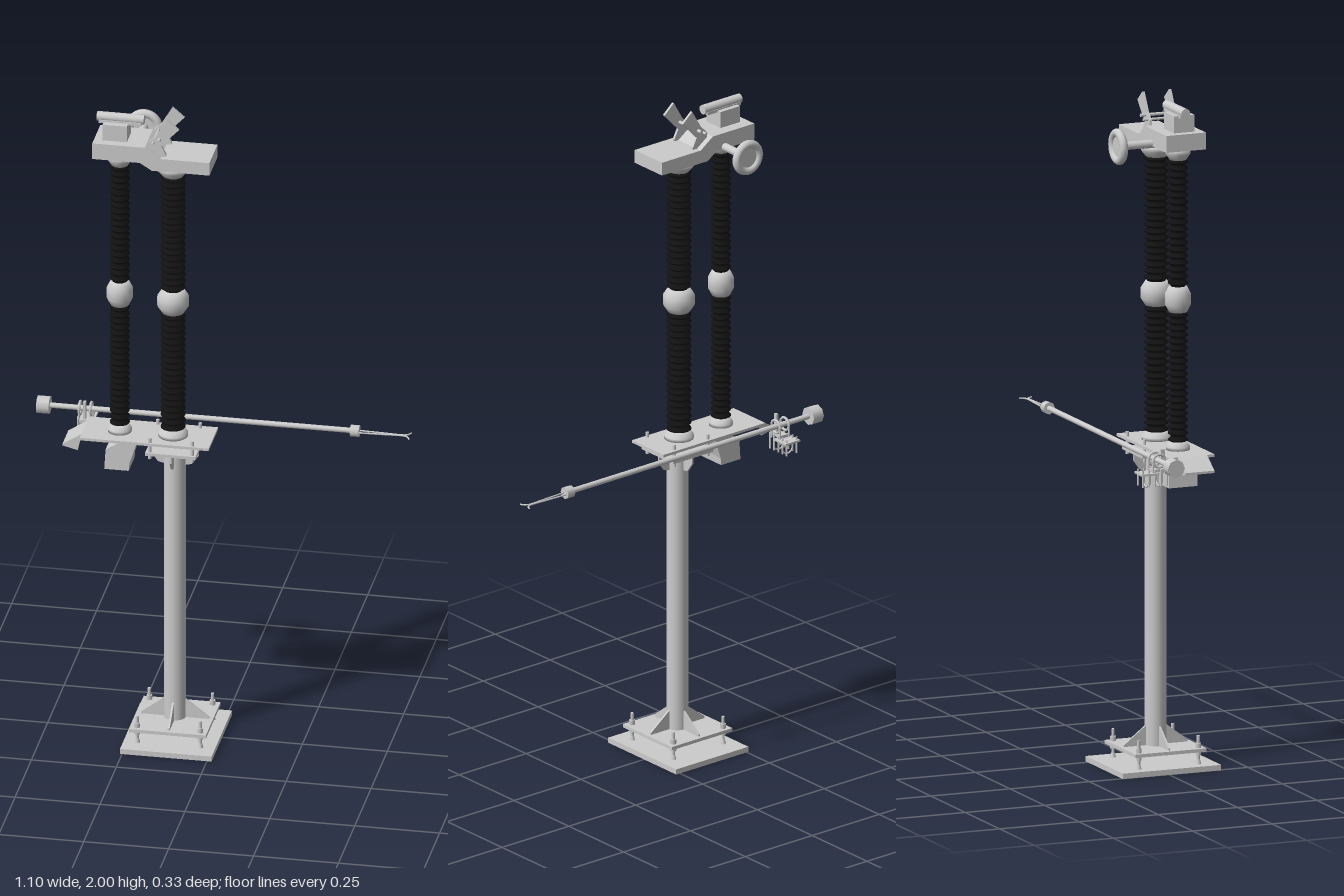
import * as THREE from 'three';

const grey = new THREE.MeshStandardMaterial({ color: 0xcccccc, side: THREE.DoubleSide });
const dark = new THREE.MeshStandardMaterial({ color: 0x111111, side: THREE.DoubleSide });
const PX = -0.122, PZ = 0.014; // column axis

export function createModel() {
  const root = new THREE.Group();

  function add(name, geo, x = 0, y = 0, z = 0, mat = grey, parent = root) {
    const m = new THREE.Mesh(geo, mat);
    m.name = name;
    m.position.set(x, y, z);
    parent.add(m);
    return m;
  }
  // box given by its minimum and maximum corners
  const box = (name, x0, x1, y0, y1, z0, z1) => add(name,
    new THREE.BoxGeometry(x1 - x0, y1 - y0, z1 - z0), (x0 + x1) / 2, (y0 + y1) / 2, (z0 + z1) / 2);
  const cyl = (name, r0, r1, y0, y1, x, z, n = 24) => add(name,
    new THREE.CylinderGeometry(r1, r0, y1 - y0, n), x, (y0 + y1) / 2, z);
  // cylinder between two points
  function rod(name, a, b, r, n = 12) {
    const p = new THREE.Vector3(...a), q = new THREE.Vector3(...b);
    const d = q.clone().sub(p);
    const m = add(name, new THREE.CylinderGeometry(r, r, d.length(), n));
    m.position.copy(p).addScaledVector(d, 0.5);
    m.quaternion.setFromUnitVectors(new THREE.Vector3(0, 1, 0), d.normalize());
    return m;
  }
  // outline in x/y extruded from z0 to z1
  function slab(name, pts, z0, z1, parent = root) {
    const s = new THREE.Shape(pts.map(p => new THREE.Vector2(...p)));
    return add(name, new THREE.ExtrudeGeometry(s, { depth: z1 - z0, bevelEnabled: false }), 0, 0, z0, grey, parent);
  }
  const lathe = (name, pts, x, z, mat = grey, n = 28) => add(name,
    new THREE.LatheGeometry(pts.map(p => new THREE.Vector2(...p)), n), x, 0, z, mat);

  // foot: ground plate, raised plate on anchor bolts, column
  box('groundPlate', -0.256, 0.014, 0, 0.016, -0.147, 0.163);
  box('footPlate', -0.236, -0.01, 0.054, 0.064, -0.098, 0.126);
  for (const x of [-0.216, -0.03]) for (const z of [-0.08, 0.108]) {
    cyl('anchorBolt', 0.005, 0.005, 0.016, 0.1, x, z, 10);
    cyl('anchorNutLower', 0.009, 0.009, 0.042, 0.054, x, z, 6);
    cyl('anchorNutUpper', 0.009, 0.009, 0.064, 0.078, x, z, 6);
    cyl('anchorCollar', 0.009, 0.005, 0.016, 0.03, x, z, 10);
  }
  cyl('column', 0.032, 0.032, 0.06, 0.932, PX, PZ, 32);

  // triangular stiffeners at the foot and head of the column
  for (let i = 0; i < 4; i++) {
    const g = new THREE.Group();
    g.name = 'stiffeners';
    g.position.set(PX, 0, PZ);
    g.rotation.y = i * Math.PI / 2;
    root.add(g);
    slab('footStiffener', [[0.028, 0.064], [0.1, 0.064], [0.1, 0.07], [0.032, 0.122], [0.028, 0.122]], -0.003, 0.003, g);
    slab('headStiffener', [[0.028, 0.932], [0.07, 0.932], [0.07, 0.908], [0.05, 0.88], [0.028, 0.875]], -0.003, 0.003, g);
  }
  box('columnFlange', -0.197, -0.048, 0.928, 0.937, PZ - 0.074, PZ + 0.072);
  for (const x of [-0.185, -0.06]) for (const z of [-0.048, 0.075])
    cyl('levellingStud', 0.005, 0.005, 0.915, 0.982, x, z, 10);

  // table carrying both insulators
  box('tablePlate', -0.39, -0.01, 0.959, 0.967, -0.06, 0.084);

  // ribbed insulator stack in two halves with a joint and end caps
  function insulator(x, r, y0, y1, mid, ballR, half) {
    const ribs = (a, b) => {
      const n = Math.round((b - a) / 0.0195), s = (b - a) / n, core = r * 0.74;
      const pts = [[core, a]];
      for (let i = 0; i < n; i++) {
        const y = a + i * s;
        pts.push([core, y + s * 0.2], [r, y + s * 0.4], [r, y + s * 0.55], [core, y + s * 0.95]);
      }
      pts.push([core, b]);
      lathe('insulatorRibs', pts, x, PZ, dark, 24);
    };
    ribs(y0, mid - half);
    ribs(mid + half, y1);
    const c = ballR * 0.7;
    lathe('insulatorJoint', [[0, mid - half], [c, mid - half], [ballR, mid - half * 0.4], [ballR, mid + half * 0.4],
      [c, mid + half], [0, mid + half]], x, PZ);
    lathe('insulatorBase', [[0, 0.967], [r * 1.2, 0.967], [r * 1.2, 0.977], [r * 0.85, y0 + 0.004], [0, y0 + 0.004]], x, PZ);
    lathe('insulatorCap', [[0, y1 - 0.004], [r * 0.85, y1 - 0.004], [r * 1.25, y1 + 0.014], [r * 1.25, y1 + 0.026],
      [r * 0.8, y1 + 0.036], [0, y1 + 0.036]], x, PZ);
  }
  insulator(-0.128, 0.036, 0.987, 1.808, 1.4, 0.046, 0.036);
  insulator(-0.285, 0.029, 0.987, 1.828, 1.412, 0.038, 0.038);

  // head: stepped housing, raised contact bar and hinged blades
  slab('headHousing', [[-0.355, 1.862], [-0.215, 1.862], [-0.18, 1.84], [-0.01, 1.84], [-0.01, 1.88],
    [-0.155, 1.88], [-0.2, 1.912], [-0.355, 1.912]], -0.053, 0.072);
  box('contactNeck', -0.33, -0.258, 1.91, 1.962, -0.018, 0.046);
  rod('contactBar', [-0.352, 1.972, 0.01], [-0.213, 1.972, 0.01], 0.014, 16);
  box('contactSaddle', -0.345, -0.22, 1.957, 1.966, -0.004, 0.026);
  for (const z of [-0.031, 0.053]) {
    slab('hingeBlade', [[-0.205, 1.85], [-0.15, 1.85], [-0.14, 1.885], [-0.155, 1.915], [-0.103, 1.97], [-0.138, 2.0],
      [-0.17, 1.945], [-0.19, 1.925]], z - 0.004, z + 0.004);
  }
  rod('hingePin', [-0.16, 1.935, -0.05], [-0.16, 1.935, 0.073], 0.005);
  rod('hingePinUpper', [-0.178, 1.925, -0.05], [-0.178, 1.925, 0.073], 0.004);

  // round terminal behind the head
  rod('terminalStem', [-0.245, 1.868, -0.155], [-0.245, 1.868, -0.05], 0.012, 16);
  add('terminalRing', new THREE.TorusGeometry(0.041, 0.0125, 12, 32), -0.245, 1.868, -0.157);
  rod('terminalDisc', [-0.245, 1.868, -0.161], [-0.245, 1.868, -0.152], 0.041, 28);

  // drive box and sloped hood under the table
  slab('driveBox', [[-0.322, 0.862], [-0.25, 0.862], [-0.248, 0.885], [-0.224, 0.96], [-0.26, 0.96], [-0.318, 0.925]], -0.03, 0.06);
  slab('hoodSheet', [[-0.39, 0.96], [-0.39, 0.967], [-0.445, 0.931], [-0.445, 0.924]], -0.031, 0.06);
  for (const z of [-0.031, 0.057])
    slab('hoodCheek', [[-0.39, 0.96], [-0.445, 0.926], [-0.4, 0.915]], z, z + 0.003);

  // long operating rod with weight, coupling and forked tip
  const RY = 0.97, RZ = -0.106;
  rod('operatingRod', [-0.52, RY, RZ], [0.38, RY, RZ], 0.008, 16);
  rod('rodWeight', [-0.55, RY, RZ], [-0.513, RY, RZ], 0.027, 8);
  rod('rodCoupling', [0.372, RY, RZ], [0.398, RY, RZ], 0.018, 8);
  for (const s of [-1, 1]) {
    const path = new THREE.CatmullRomCurve3([[0.39, 0.008], [0.46, 0.005], [0.53, 0.003], [0.54, 0.008], [0.547, 0.02]]
      .map(([x, d]) => new THREE.Vector3(x, RY - 0.002, RZ + s * d)));
    add('forkProng', new THREE.TubeGeometry(path, 24, 0.0025, 8));
  }

  // rod bracket: plate, clamp rings, pins and hanging loops
  box('bracketPlate', -0.435, -0.382, 0.93, 0.936, -0.165, -0.11);
  box('bracketArm', -0.422, -0.395, 0.936, 0.945, -0.125, -0.076);
  for (const x of [-0.425, -0.392]) {
    const ring = add('clampRing', new THREE.TorusGeometry(0.019, 0.004, 8, 20), x, RY, RZ);
    ring.rotation.y = Math.PI / 2;
    for (const z of [-0.125, -0.087]) rod('clampLeg', [x, 0.93, z], [x, RY, z], 0.003, 8);
  }
  for (const x of [-0.427, -0.39]) for (let i = 0; i < 5; i++)
    rod('bracketPin', [x, 0.895, -0.158 + i * 0.019], [x, 0.945, -0.158 + i * 0.019], 0.003, 8);
  for (const z of [-0.14, -0.1])
    add('hangingLoop', new THREE.TorusGeometry(0.019, 0.0025, 8, 20, Math.PI), -0.408, 0.912, z).rotation.z = Math.PI;
  box('bracketStrap', -0.412, -0.404, 0.93, 1.0, -0.094, -0.082);

  // centre the model horizontally and stand it on the ground
  root.updateMatrixWorld(true);
  return root;
}
